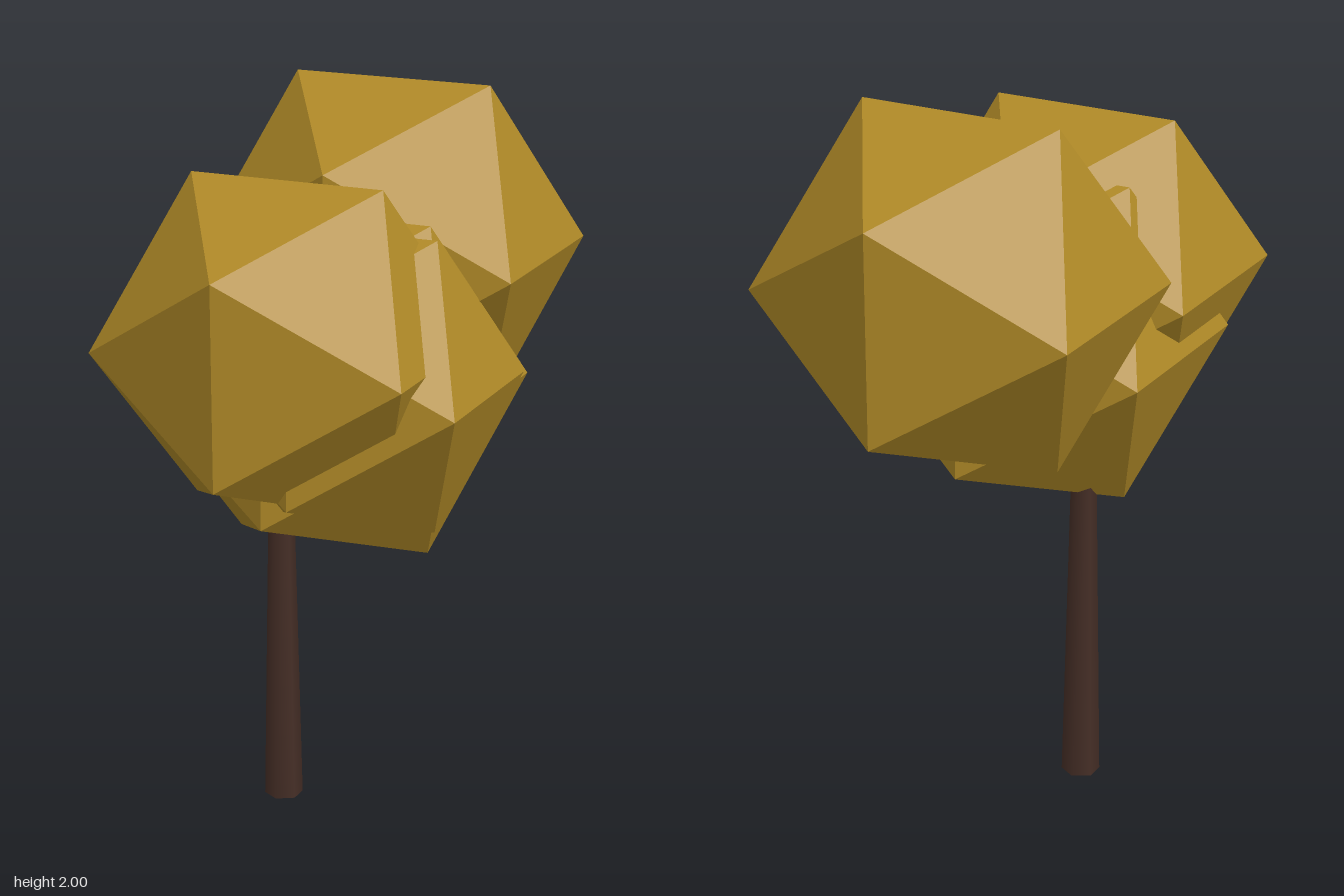
import * as THREE from 'three';

export function createModel() {
  const tree = new THREE.Group();
  tree.name = 'tree';

  const foliage = new THREE.MeshStandardMaterial({ color: 0xaf8927, flatShading: true });
  foliage.name = 'golden foliage';
  const bark = new THREE.MeshStandardMaterial({ color: 0x452e26 });
  bark.name = 'dark bark';

  // Tapered six-sided trunk, its top buried in the lowest clump
  const height = 1.0;
  const trunk = new THREE.Mesh(new THREE.CylinderGeometry(0.033, 0.0535, height, 6), bark);
  trunk.name = 'trunk';
  trunk.position.set(-0.197, height / 2, 0.045);
  tree.add(trunk);

  // Overlapping leaf clumps: name, radius, centre
  const clumps = [
    ['backClump', 0.538, [-0.022, 1.543, -0.31]],
    ['frontClump', 0.508, [-0.038, 1.418, 0.335]],
    ['lowerClump', 0.523, [0, 1.273, 0.135]],
    ['leftClump', 0.46, [0.089, 1.315, 0.225]],
  ];
  for (const [name, radius, centre] of clumps) {
    const clump = new THREE.Mesh(new THREE.IcosahedronGeometry(radius, 0), foliage);
    clump.name = name;
    clump.position.set(...centre);
    tree.add(clump);
  }

  return tree;
}
